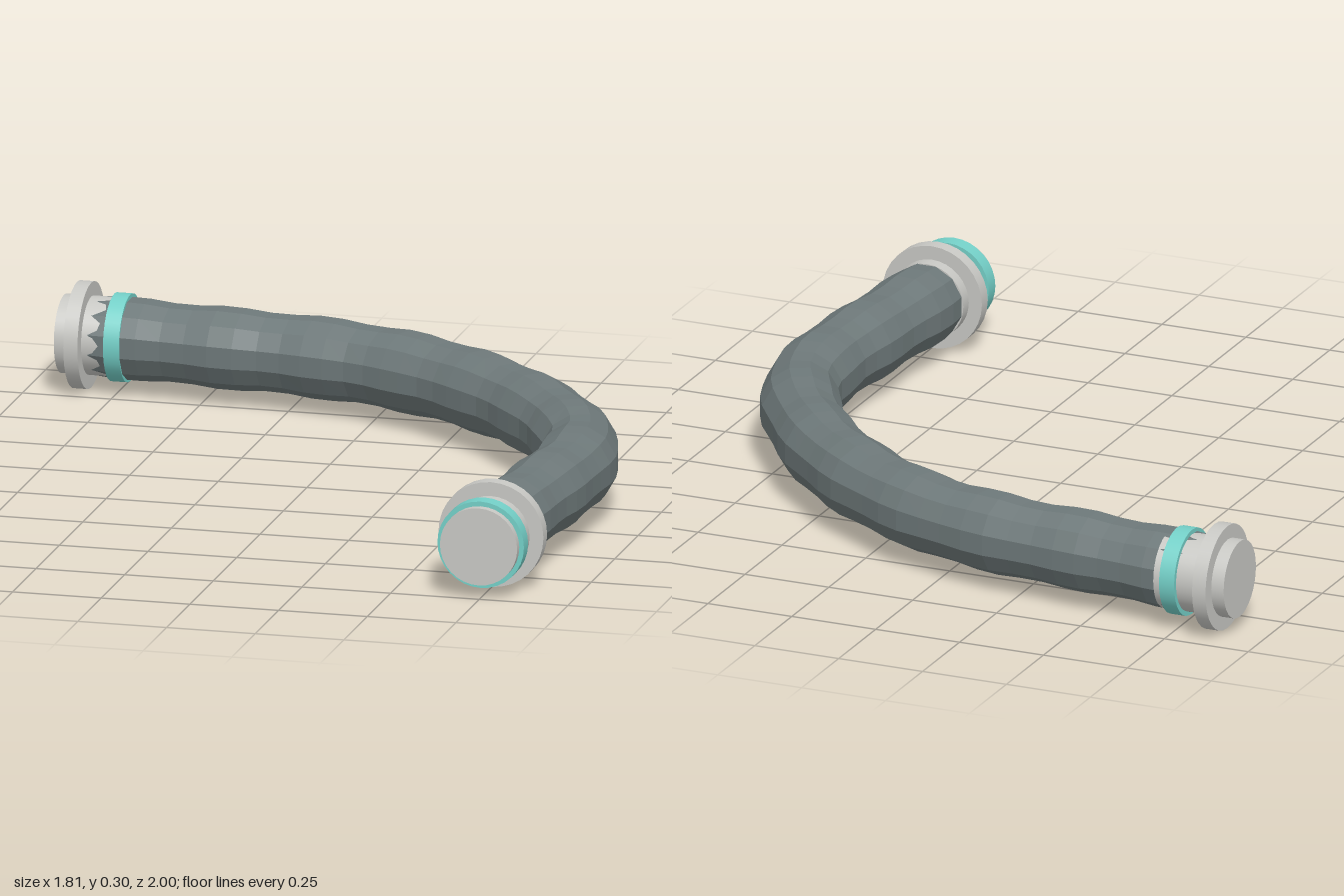
import * as THREE from 'three';

const HEIGHT = 0.15;

const hoseMaterial = new THREE.MeshStandardMaterial({ name: 'hose grey', color: 0x6e797a, flatShading: true });
const collarMaterial = new THREE.MeshStandardMaterial({ name: 'collar light grey', color: 0xc8c8c4 });
const bandMaterial = new THREE.MeshStandardMaterial({ name: 'band teal', color: 0x74d0c8 });

// Gently rippled twelve-sided hose swept along a level curve
function createHose() {
  const path = new THREE.CatmullRomCurve3([
    [-0.81, -0.852], [-0.7, -0.846], [-0.45, -0.82], [-0.2, -0.793], [0.03, -0.735],
    [0.24, -0.632], [0.43, -0.49], [0.57, -0.345], [0.7, -0.16], [0.772, 0],
    [0.794, 0.2], [0.782, 0.4], [0.768, 0.56], [0.75, 0.76], [0.748, 0.88],
  ].map(([x, z]) => new THREE.Vector3(x, HEIGHT, z)));
  const rings = 40, sides = 12, ripples = 10;
  const positions = [], indices = [];
  for (let i = 0; i <= rings; i++) {
    const t = i / rings;
    const p = path.getPointAt(t), d = path.getTangentAt(t);
    const radius = 0.1105 + 0.004 * Math.cos(t * ripples * Math.PI * 2 - 2.2);
    for (let j = 0; j < sides; j++) {
      const a = ((j + 0.5) / sides) * Math.PI * 2;
      const across = Math.cos(a) * radius;
      positions.push(p.x - d.z * across, p.y + Math.sin(a) * radius, p.z + d.x * across);
      if (i < rings) {
        const k = (j + 1) % sides;
        const a0 = i * sides + j, a1 = i * sides + k;
        indices.push(a0, a0 + sides, a1, a1, a0 + sides, a1 + sides);
      }
    }
  }
  // End caps
  const last = rings * sides;
  for (let j = 1; j < sides - 1; j++) {
    indices.push(0, j, j + 1, last, last + j + 1, last + j);
  }
  const geometry = new THREE.BufferGeometry();
  geometry.setAttribute('position', new THREE.Float32BufferAttribute(positions, 3));
  geometry.setIndex(indices);
  geometry.computeVertexNormals();
  const mesh = new THREE.Mesh(geometry, hoseMaterial);
  mesh.name = 'hose';
  return mesh;
}

// Coupling built along +z from its origin: sleeve, wide flange, teal seal band
function createCoupling(name) {
  const group = new THREE.Group();
  group.name = name;
  const addRing = (partName, radius, start, end, material) => {
    const geometry = new THREE.CylinderGeometry(radius, radius, end - start, 32);
    geometry.rotateX(Math.PI / 2);
    geometry.translate(0, 0, (start + end) / 2);
    const mesh = new THREE.Mesh(geometry, material);
    mesh.name = partName;
    group.add(mesh);
  };
  addRing('sleeve', 0.109, 0, 0.21, collarMaterial);
  addRing('flange', 0.148, 0.037, 0.077, collarMaterial);
  addRing('sealBand', 0.122, 0.142, 0.187, bandMaterial);
  return group;
}

export function createModel() {
  const model = new THREE.Group();
  model.name = 'bentHose';
  model.add(createHose());

  const backCoupling = createCoupling('backCoupling');
  backCoupling.position.set(-0.91, HEIGHT, -0.853);
  backCoupling.rotation.y = Math.PI / 2;

  const frontCoupling = createCoupling('frontCoupling');
  frontCoupling.position.set(0.748, HEIGHT, 0.79);

  model.add(backCoupling, frontCoupling);
  return model;
}
